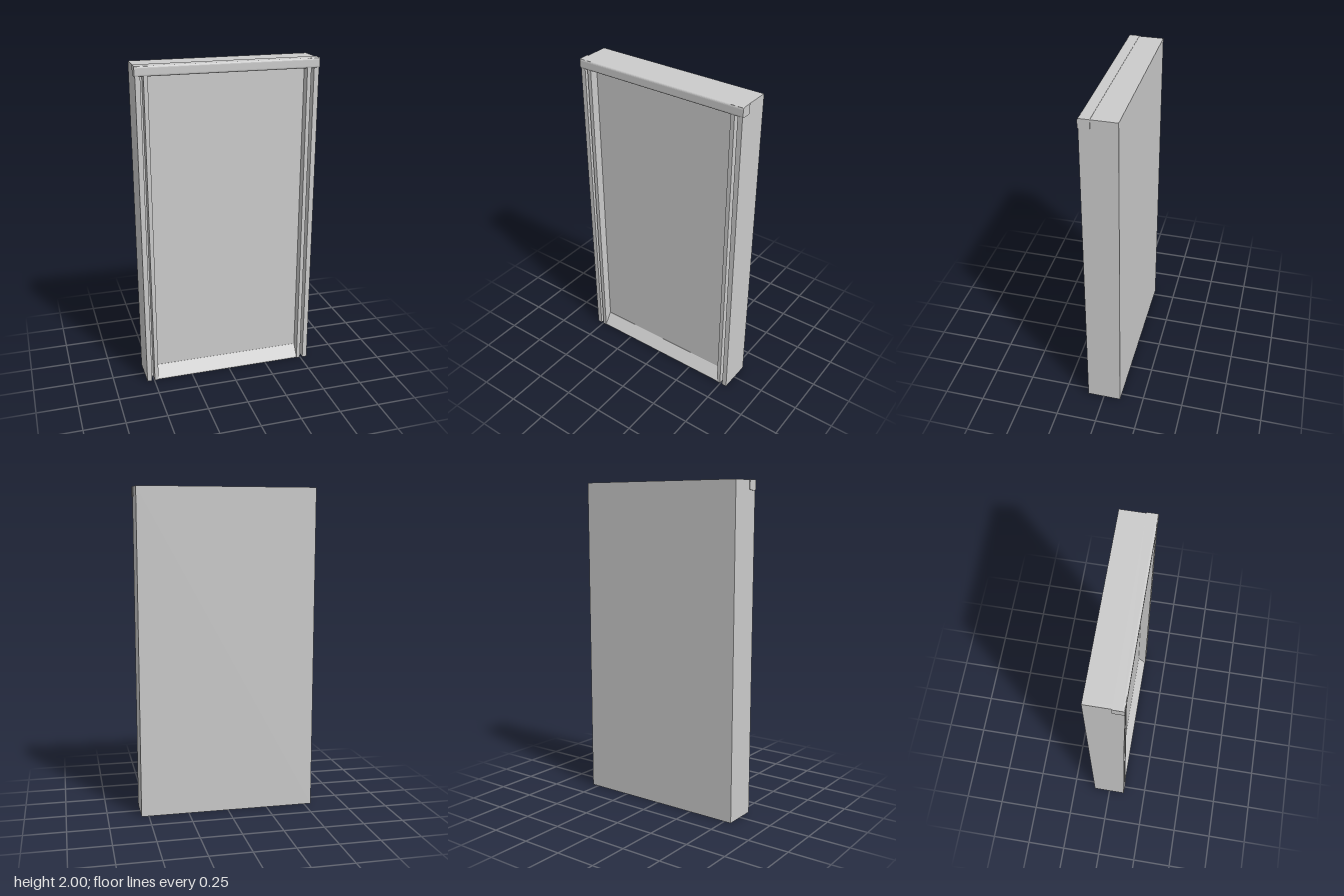
import * as THREE from 'three';

const material = new THREE.MeshStandardMaterial({ color: 0xcccccc });

function addMesh(group, name, geometry) {
  const mesh = new THREE.Mesh(geometry, material);
  mesh.name = name;
  group.add(mesh);
}

// Extrude a (z, y) profile along x, centred on x = 0
function alongX(shape, width) {
  const g = new THREE.ExtrudeGeometry(shape, { depth: width, bevelEnabled: false, curveSegments: 8 });
  g.rotateY(-Math.PI / 2);
  g.translate(width / 2, 0, 0);
  return g;
}

export function createModel() {
  const group = new THREE.Group();
  group.name = 'framedPanel';

  const back = -0.107, front = 0.103, face = 0.05;

  // Body: plan outline with a slotted guide rail down each side and a recessed face
  const half = [ // x, z from the back corner to the recessed face
    [0.545, back], [0.545, front], [0.515, front], [0.515, face],
    [0.497, face], [0.497, front], [0.473, front], [0.473, face],
  ];
  const mirrored = half.map(([x, z]) => [-x, z]).reverse();
  const plan = new THREE.Shape([...half, ...mirrored].map(([x, z]) => new THREE.Vector2(x, -z)));
  const body = new THREE.ExtrudeGeometry(plan, { depth: 1.998, bevelEnabled: false });
  body.rotateX(-Math.PI / 2);
  addMesh(group, 'bodyWithSideRails', body);

  // Sloping sill at the foot of the recess
  const sill = new THREE.Shape();
  sill.moveTo(face - 0.01, 0);
  sill.lineTo(front - 0.003, 0);
  sill.lineTo(front - 0.003, 0.008);
  sill.lineTo(face + 0.001, 0.08);
  sill.lineTo(face - 0.01, 0.08);
  addMesh(group, 'bottomSill', alongX(sill, 0.946));

  // Rolled bar across the top, rounded along its front and lower edges
  const z0 = 0.04, z1 = 0.106, y0 = 1.94, y1 = 2, r = 0.014;
  const bar = new THREE.Shape();
  bar.moveTo(z0, y1);
  bar.lineTo(z0, y0 + r);
  bar.quadraticCurveTo(z0, y0, z0 + r, y0);
  bar.lineTo(z1 - r, y0);
  bar.quadraticCurveTo(z1, y0, z1, y0 + r);
  bar.lineTo(z1, y1 - r);
  bar.quadraticCurveTo(z1, y1, z1 - r, y1);
  addMesh(group, 'topBar', alongX(bar, 1.098));

  return group;
}
